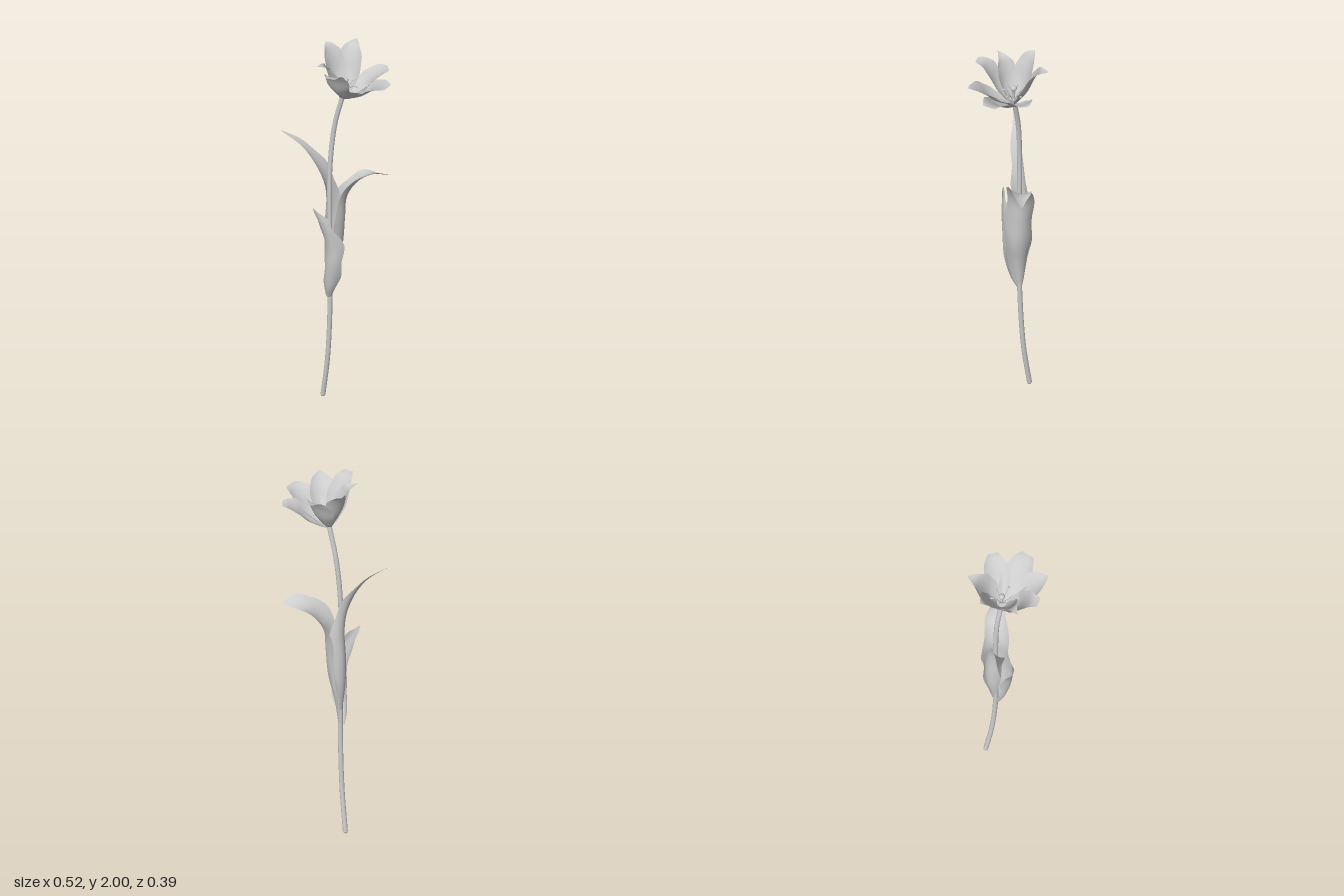
import * as THREE from 'three';

const mat = new THREE.MeshStandardMaterial({ color: 0xcccccc, side: THREE.DoubleSide });
const V = (x, y, z) => new THREE.Vector3(x, y, z);

function add(parent, name, geometry) {
  const mesh = new THREE.Mesh(geometry, mat);
  mesh.name = name;
  parent.add(mesh);
  return mesh;
}

// Thin curved blade. Each row is [x, y, z, halfWidth, cup] along the midrib;
// "out" is the horizontal direction that the back of the blade faces,
// "ripple" waves the edges and "roll" twists the blade towards its tip.
function blade(rows, out, ripple, roll = 0, nu = 36, nv = 12) {
  const spine = new THREE.CatmullRomCurve3(rows.map(r => V(r[0], r[1], r[2])), false, 'catmullrom');
  const shape = new THREE.CatmullRomCurve3(rows.map(r => V(r[3], r[4], 0)), false, 'catmullrom');
  const side = V(0, 1, 0).cross(out).normalize();
  const pos = [], index = [];
  for (let i = 0; i <= nu; i++) {
    const t = i / nu, p = spine.getPoint(t), s = shape.getPoint(t);
    const T = spine.getTangent(t);
    const S = side.clone().addScaledVector(T, -side.dot(T)).normalize().applyAxisAngle(T, roll * t ** 3);
    const N = T.clone().cross(S);
    const w = Math.max(s.x, 0.001);
    for (let j = 0; j <= nv; j++) {
      const v = j / nv * 2 - 1;
      const wave = ripple * Math.sin(t * 24 + v * 2) * v * v * Math.sin(Math.PI * t);
      const q = p.clone().addScaledVector(S, w * v * (1 - 0.12 * s.y * v * v) + wave * Math.sign(v))
        .addScaledVector(N, w * s.y * v * v + wave);
      pos.push(q.x, q.y, q.z);
      if (i < nu && j < nv) {
        const a = i * (nv + 1) + j, b = a + nv + 1;
        index.push(a, a + 1, b, b, a + 1, b + 1);
      }
    }
  }
  const g = new THREE.BufferGeometry();
  g.setAttribute('position', new THREE.Float32BufferAttribute(pos, 3));
  g.setIndex(index);
  g.computeVertexNormals();
  return g;
}

export function createModel() {
  const model = new THREE.Group();
  model.name = 'flower';

  // Stem with a rounded foot
  const stemPath = new THREE.CatmullRomCurve3([
    V(-0.055, 0.012, -0.12), V(-0.035, 0.25, -0.089), V(-0.025, 0.6, -0.07), V(-0.028, 1.0, -0.068),
    V(-0.025, 1.35, -0.07), V(-0.003, 1.58, -0.062), V(0.035, 1.765, -0.037)]);
  add(model, 'stem', new THREE.TubeGeometry(stemPath, 64, 0.012, 12));
  add(model, 'stemFoot', new THREE.SphereGeometry(0.012, 12, 8)).position.set(-0.055, 0.012, -0.12);

  // Leaves: broad arching one, short front one, long pointed one
  add(model, 'broadLeaf', blade([
    [-0.015, 0.62, -0.07, 0.014, 0.5], [0.005, 0.76, -0.065, 0.046, 0.7], [0.035, 0.9, -0.062, 0.07, 0.7],
    [0.046, 1.05, -0.063, 0.071, 0.7], [0.056, 1.17, -0.062, 0.069, 0.6], [0.11, 1.262, -0.054, 0.058, 0.35],
    [0.178, 1.295, -0.05, 0.045, 0.2], [0.252, 1.285, -0.05, 0.008, 0]], V(1, 0, 0), 0.006, -0.65));
  add(model, 'shortLeaf', blade([
    [-0.037, 0.6, -0.06, 0.014, 0.5], [-0.037, 0.68, -0.028, 0.036, 0.6], [-0.028, 0.8, 0, 0.05, 0.6],
    [-0.028, 0.92, 0.008, 0.052, 0.6], [-0.058, 1.03, 0.01, 0.035, 0.5], [-0.088, 1.1, 0.006, 0.02, 0.4],
    [-0.112, 1.145, 0, 0.002, 0]], V(-0.5, 0, 0.87), 0.006));
  add(model, 'longLeaf', blade([
    [-0.032, 0.7, -0.08, 0.012, 0.5], [-0.042, 0.85, -0.1, 0.042, 0.6], [-0.042, 1.0, -0.102, 0.05, 0.6],
    [-0.034, 1.15, -0.092, 0.05, 0.6], [-0.046, 1.26, -0.076, 0.042, 0.5], [-0.086, 1.37, -0.066, 0.032, 0.35],
    [-0.158, 1.475, -0.065, 0.018, 0.25], [-0.26, 1.557, -0.065, 0.002, 0]], V(-0.78, 0, -0.62), 0.004));

  // Flower head
  const head = new THREE.Group();
  head.name = 'flowerHead';
  model.add(head);
  const base = V(0.035, 1.745, -0.037);
  add(head, 'receptacle', new THREE.CylinderGeometry(0.022, 0.012, 0.03, 16)).position.set(0.036, 1.765, -0.037);

  // Petals: tip position, half width, bluntness of the tip, lean of the lower part
  const petals = [
    [0.236, 1.882, 0.104, 0.071, 0.6, 1], [0.254, 1.885, -0.063, 0.063, 0.5, 1], [0.11, 1.91, 0.193, 0.066, -0.1, 1],
    [-0.042, 1.965, 0.135, 0.058, 0.5, 0.92], [-0.1, 1.97, 0.03, 0.051, -0.1, 0.78],
    [-0.04, 2.0, -0.144, 0.058, 0, 0.95], [0.112, 1.98, -0.194, 0.065, 0, 0.86]];
  // Rows of the shared petal profile: outward, upward, width, cup
  const profile = [[0.02, 0, 0.18, 0.3], [0.22, 0.15, 0.65, 0.45], [0.47, 0.4, 0.98, 0.4],
    [0.69, 0.74, 0.98, 0.3], [0.88, 0.94, 0.54, 0.2], [1, 1, 0.03, 0]];
  for (const [x, y, z, width, blunt, lean] of petals) {
    const d = V(x, y, z).sub(base);
    const rows = profile.map(([h, up, w, cup], i) => {
      const r = i < 5 ? h * lean : h;
      return [base.x + d.x * r, base.y + d.y * up, base.z + d.z * r,
        width * (i > 3 ? w + blunt * (1 - w) * 0.7 : w), cup];
    });
    add(head, 'petal', blade(rows, V(d.x, 0, d.z), 0.002, 0, 24, 12));
  }

  // Pistil
  const pistilTop = V(0.045, 1.845, -0.035);
  add(head, 'pistil', new THREE.TubeGeometry(
    new THREE.LineCurve3(V(0.036, 1.77, -0.037), pistilTop), 4, 0.006, 8));
  add(head, 'stigma', new THREE.SphereGeometry(0.015, 14, 10)).position.copy(pistilTop);

  // Stamens: thin bent filaments with small oval anthers
  for (let i = 0; i < 6; i++) {
    const a = 0.6 + i * Math.PI / 3, r = 0.048 + 0.018 * Math.cos(a);
    const at = (k, y) => V(0.04 + Math.cos(a) * r * k, y, -0.034 + Math.sin(a) * r * k);
    const end = at(1, 1.832);
    add(head, 'filament', new THREE.TubeGeometry(
      new THREE.CatmullRomCurve3([at(0.1, 1.77), at(0.4, 1.805), at(0.75, 1.828), end]), 10, 0.0025, 6));
    const anther = add(head, 'anther', new THREE.SphereGeometry(0.005, 8, 6));
    anther.scale.set(2.2, 1, 1);
    anther.rotation.y = -a;
    anther.position.copy(end);
  }
  return model;
}
